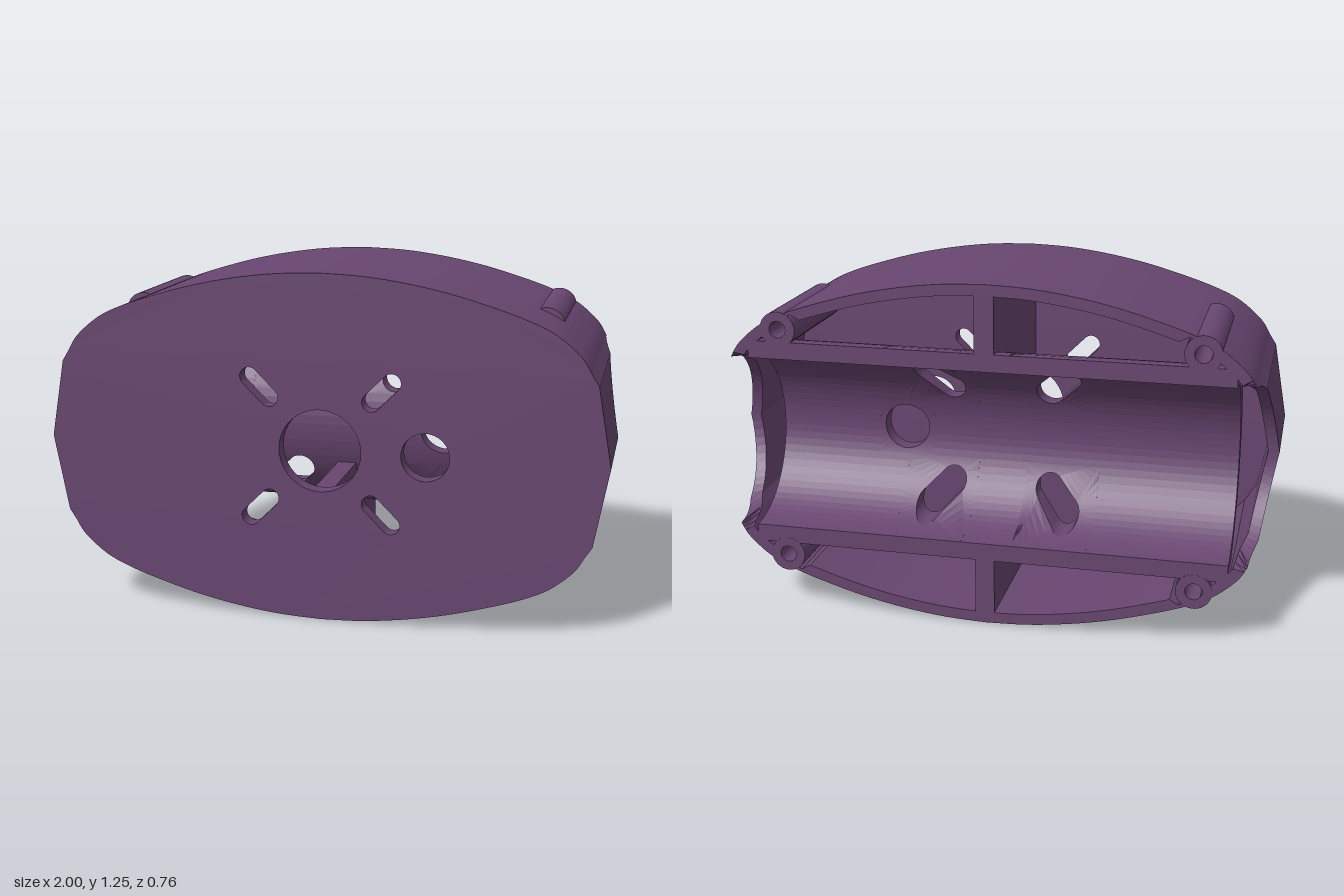
import * as THREE from 'three';

const CY = 0.6275, BACK = -0.38, FRONT = 0.38, PLATE = 0.06;
const R_IN = 0.317, R_OUT = 0.38, HALF = 0.86;     // cradle
const BOSS = { x: 0.745, y: 0.425, r: 0.064, hole: 0.03 };

export function createModel() {
  const plum = new THREE.MeshStandardMaterial({ color: 0x684670 });
  const model = new THREE.Group();
  const body = new THREE.Group();
  body.position.y = CY;                             // parts are built around the centre line
  model.add(body);

  const add = (geometry, name, parent = body) => {
    const mesh = new THREE.Mesh(geometry, plum);
    mesh.name = name;
    parent.add(mesh);
    return mesh;
  };
  const quad = (out, a, b, c, d) => out.push(...a, ...b, ...c, ...a, ...c, ...d);
  const faceted = (pos) => {
    const g = new THREE.BufferGeometry();
    g.setAttribute('position', new THREE.Float32BufferAttribute(pos, 3));
    g.computeVertexNormals();
    return g;
  };
  const extrude = (shape, depth, z) =>
    new THREE.ExtrudeGeometry(shape, { depth, bevelEnabled: false, curveSegments: 24 }).translate(0, 0, z);

  // Quarter outline: faceted ends, then a smooth crown
  const V = (x, y) => new THREE.Vector2(x, y);
  const quarter = [];
  const endX = (y) => (y < 0.278 ? 1 - 0.05 * y / 0.278 : 0.95 - 0.06 * (y - 0.278) / 0.094);
  for (let i = 0; i <= 16; i++) {
    const y = R_IN * Math.sin((i / 16) * Math.PI / 2);
    const previous = quarter.length ? quarter[quarter.length - 1].y : 0;
    if (previous < 0.277 && y > 0.279) quarter.push(V(0.95, 0.278));
    quarter.push(V(endX(y), y));
  }
  const crown = new THREE.SplineCurve([
    V(0.925, 0.317), V(0.89, 0.372), V(0.81, 0.44), V(0.72, 0.484), V(0.6, 0.525),
    V(0.45, 0.567), V(0.3, 0.597), V(0.15, 0.616), V(0, 0.6225)]);
  quarter.push(...crown.getPoints(40).slice(1));
  const half = [...quarter, ...quarter.slice(0, -1).reverse().map((p) => V(-p.x, p.y))];
  const outline = [...half, ...half.slice(1, -1).reverse().map((p) => V(p.x, -p.y))];

  // Outer shell wall, its ends cut by the round channel
  const backZ = (y) => BACK + Math.sqrt(Math.max(0, R_IN * R_IN - y * y));
  const n = outline.length;
  const sections = outline.map((p, k) => {
    const t = outline[(k + 1) % n].clone().sub(outline[(k + n - 1) % n]).normalize();
    const wall = Math.abs(Math.abs(p.x) - BOSS.x) < 0.05 ? 0.012 : 0.04;   // thin beside screw holes
    const qx = p.x - t.y * wall, qy = p.y + t.x * wall, f = FRONT - PLATE;
    return { ob: [p.x, p.y, backZ(p.y)], of: [p.x, p.y, f], ib: [qx, qy, backZ(qy)], if: [qx, qy, f] };
  });
  const shell = [];
  sections.forEach((a, k) => {
    const b = sections[(k + 1) % n];
    quad(shell, a.ob, b.ob, b.of, a.of);
    quad(shell, a.if, b.if, b.ib, a.ib);
    quad(shell, a.ob, a.ib, b.ib, b.ob);
  });
  add(faceted(shell), 'outerShell');

  // Closed contours for the openings: a capsule, or a circle when len is zero
  const opening = (cx, cy, dx, dy, len, r) => (a) => {
    const c = Math.cos(a), s = Math.sin(a);
    const side = c * dx + s * dy >= -1e-6 ? len : -len;
    return V(cx + side * dx + r * c, cy + side * dy + r * s);
  };
  const slot = (sx, sy, r) => opening(sx * 0.218, sy * 0.218, sx * Math.SQRT1_2, sy * Math.SQRT1_2, 0.05, r);
  const contour = (fn) => new THREE.Path(Array.from({ length: 48 }, (_, i) => fn(i / 48 * Math.PI * 2)));
  const sideHole = opening(0.373, 0, 1, 0, 0, 0.085);

  // Front plate with shaft hole, side hole and four slots
  const face = new THREE.Shape(outline);
  face.holes.push(contour(opening(0, 0, 1, 0, 0, 0.147)), contour(sideHole));
  for (const sx of [-1, 1]) for (const sy of [-1, 1]) face.holes.push(contour(slot(sx, sy, 0.033)));
  add(extrude(face, PLATE, FRONT - PLATE), 'frontPlate');

  // Half-round cradle, made of plain and pierced curved patches
  const cradle = new THREE.Group();
  cradle.name = 'cradle';
  body.add(cradle);
  const bent = (x, th, r) => [x, r * Math.sin(th), BACK + r * Math.cos(th)];
  const surface = [];
  const plain = (x0, x1, t0, t1) => {
    const steps = Math.ceil((t1 - t0) / 0.09);
    for (let i = 0; i < steps; i++) {
      const a = t0 + (t1 - t0) * i / steps, b = t0 + (t1 - t0) * (i + 1) / steps;
      quad(surface, bent(x0, a, R_OUT), bent(x1, a, R_OUT), bent(x1, b, R_OUT), bent(x0, b, R_OUT));
      quad(surface, bent(x0, b, R_IN), bent(x1, b, R_IN), bent(x1, a, R_IN), bent(x0, a, R_IN));
    }
  };
  const pierced = (x0, x1, t0, t1, fn) => {
    const N = 48, M = 6;
    const at = (i, j, r) => {
      const a = (j / N) * Math.PI * 2, c = Math.cos(a), s = Math.sin(a);
      const m = Math.max(Math.abs(c), Math.abs(s)), k = i / M, h = fn(a);
      const ex = (x0 + x1) / 2 + (x1 - x0) / 2 * c / m, et = (t0 + t1) / 2 + (t1 - t0) / 2 * s / m;
      const ht = Math.asin(h.y / r);
      return bent(h.x + (ex - h.x) * k, ht + (et - ht) * k, r);
    };
    for (let j = 0; j < N; j++) {
      for (let i = 0; i < M; i++) {
        quad(surface, at(i, j, R_OUT), at(i + 1, j, R_OUT), at(i + 1, j + 1, R_OUT), at(i, j + 1, R_OUT));
        quad(surface, at(i, j + 1, R_IN), at(i + 1, j + 1, R_IN), at(i + 1, j, R_IN), at(i, j, R_IN));
      }
      quad(surface, at(0, j, R_OUT), at(0, j + 1, R_OUT), at(0, j + 1, R_IN), at(0, j, R_IN));
    }
  };
  const T = 0.335, E = Math.PI / 2;
  plain(-HALF, 0.27, -T, T);
  pierced(0.27, 0.476, -T, T, sideHole);
  plain(0.476, HALF, -T, T);
  for (const sy of [-1, 1]) {
    const [t0, t1] = sy > 0 ? [T, E] : [-E, -T];
    plain(-HALF, -0.36, t0, t1);
    pierced(-0.36, -0.09, t0, t1, slot(-1, sy, 0.05));
    plain(-0.09, 0.09, t0, t1);
    pierced(0.09, 0.36, t0, t1, slot(1, sy, 0.05));
    plain(0.36, HALF, t0, t1);
    add(new THREE.PlaneGeometry(2 * HALF, R_OUT - R_IN).rotateY(Math.PI)
      .translate(0, sy * (R_IN + R_OUT) / 2, BACK), 'cradleRail', cradle);
  }
  add(faceted(surface), 'cradleTrough', cradle);
  for (const s of [-1, 1]) {
    add(new THREE.RingGeometry(R_IN, R_OUT, 36, 1, s > 0 ? E : -E, Math.PI)
      .rotateY(s * E).translate(s * HALF, 0, BACK), 'cradleEnd', cradle);
  }

  // Centre ribs between cradle, shell and front plate
  const rib = (sy) => {
    const pts = [];
    const low = Math.asin(0.15 / 0.365);
    for (let i = 0; i <= 12; i++) {
      const a = E + (low - E) * i / 12;
      pts.push(V(-(BACK + 0.365 * Math.cos(a)), sy * 0.365 * Math.sin(a)));
    }
    pts.push(V(-0.33, sy * 0.15), V(-0.33, sy * 0.6), V(-BACK, sy * 0.6));
    return extrude(new THREE.Shape(pts), 0.07, -0.035).rotateY(E);
  };
  for (const sy of [-1, 1]) add(rib(sy), 'centreRib');

  // Four screw bosses with blind holes
  for (const sx of [-1, 1]) for (const sy of [-1, 1]) {
    const boss = new THREE.Group();
    boss.name = 'screwBoss';
    boss.position.set(sx * BOSS.x, sy * BOSS.y, 0);
    body.add(boss);
    const ring = new THREE.Shape().absarc(0, 0, BOSS.r, 0, Math.PI * 2);
    ring.holes.push(new THREE.Path().absarc(0, 0, BOSS.hole, 0, Math.PI * 2));
    add(extrude(ring, 0.43, BACK - 0.001), 'bossSleeve', boss);
    add(new THREE.CylinderGeometry(BOSS.r, BOSS.r, 0.051, 48).rotateX(E).translate(0, 0, 0.0745), 'bossCap', boss);
  }
  return model;
}
